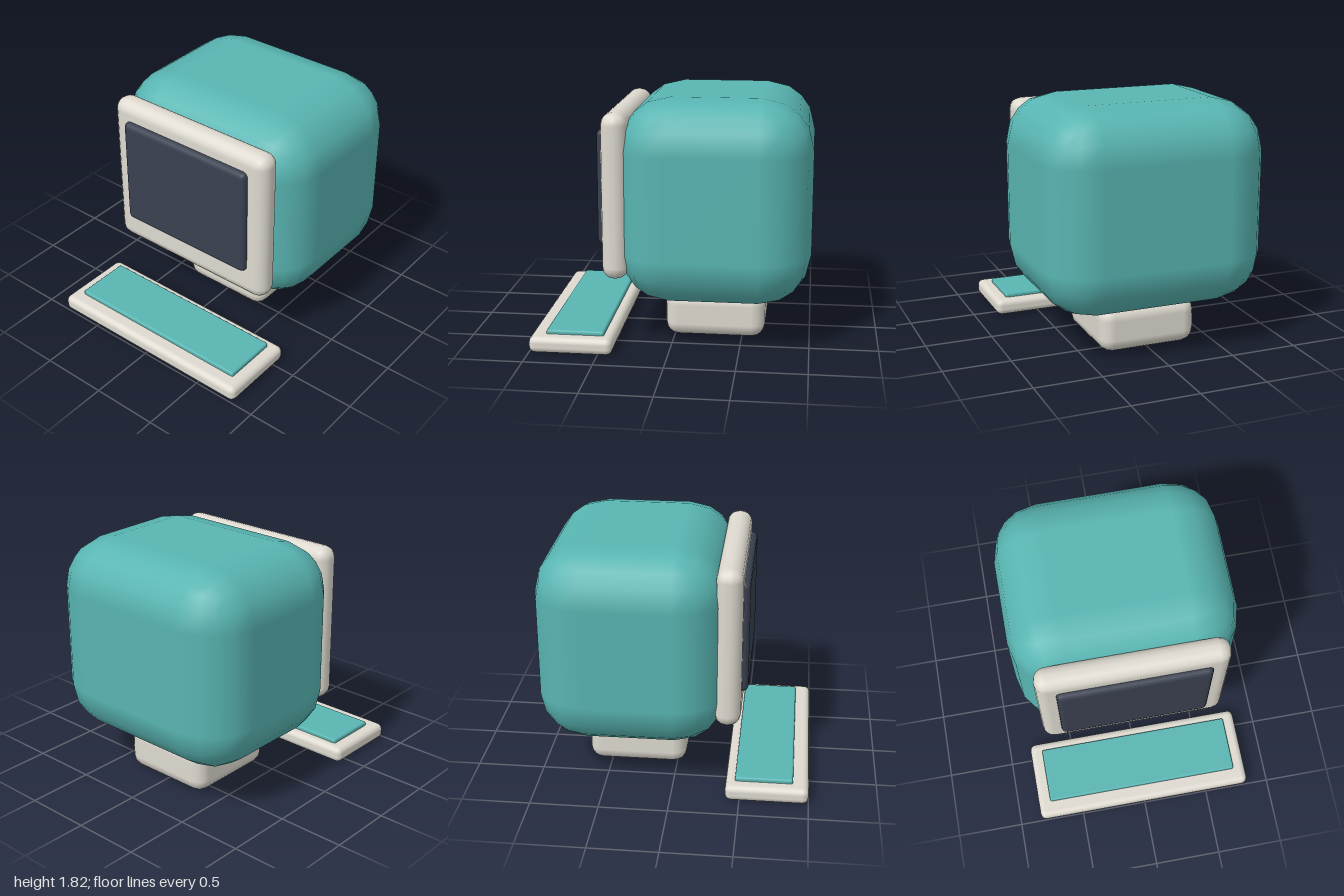
import * as THREE from 'three';
import { RoundedBoxGeometry } from 'three/addons/geometries/RoundedBoxGeometry.js';

const mat = (name, color) => {
  const m = new THREE.MeshStandardMaterial({ color });
  m.name = name;
  return m;
};

export function createModel() {
  const model = new THREE.Group();
  model.name = 'desktopComputer';

  const teal = mat('teal', 0x58b5b2);
  const cream = mat('cream', 0xdedad0);
  const glass = mat('dark glass', 0x3a4150);

  // Rounded block centred on x, given by its width, y range, z range and corner radius
  const block = (name, material, width, [y0, y1], [z0, z1], radius) => {
    const mesh = new THREE.Mesh(new RoundedBoxGeometry(width, y1 - y0, z1 - z0, 2, radius), material);
    mesh.position.set(0, (y0 + y1) / 2, (z0 + z1) / 2);
    mesh.name = name;
    model.add(mesh);
  };

  // Monitor
  block('monitorShell', teal, 1.67, [0.33, 1.815], [-1, 0.38], 0.37);
  block('screenBezel', cream, 1.39, [0.515, 1.72], [0.3, 0.49], 0.09);
  block('screen', glass, 1.11, [0.745, 1.585], [0.44, 0.535], 0.04);
  block('stand', cream, 0.74, [0, 0.345], [-0.67, 0.07], 0.1);

  // Keyboard
  block('keyboardBase', cream, 1.67, [0, 0.12], [0.395, 1], 0.045);
  block('keyPad', teal, 1.485, [0.09, 0.15], [0.465, 0.885], 0.015);

  return model;
}
